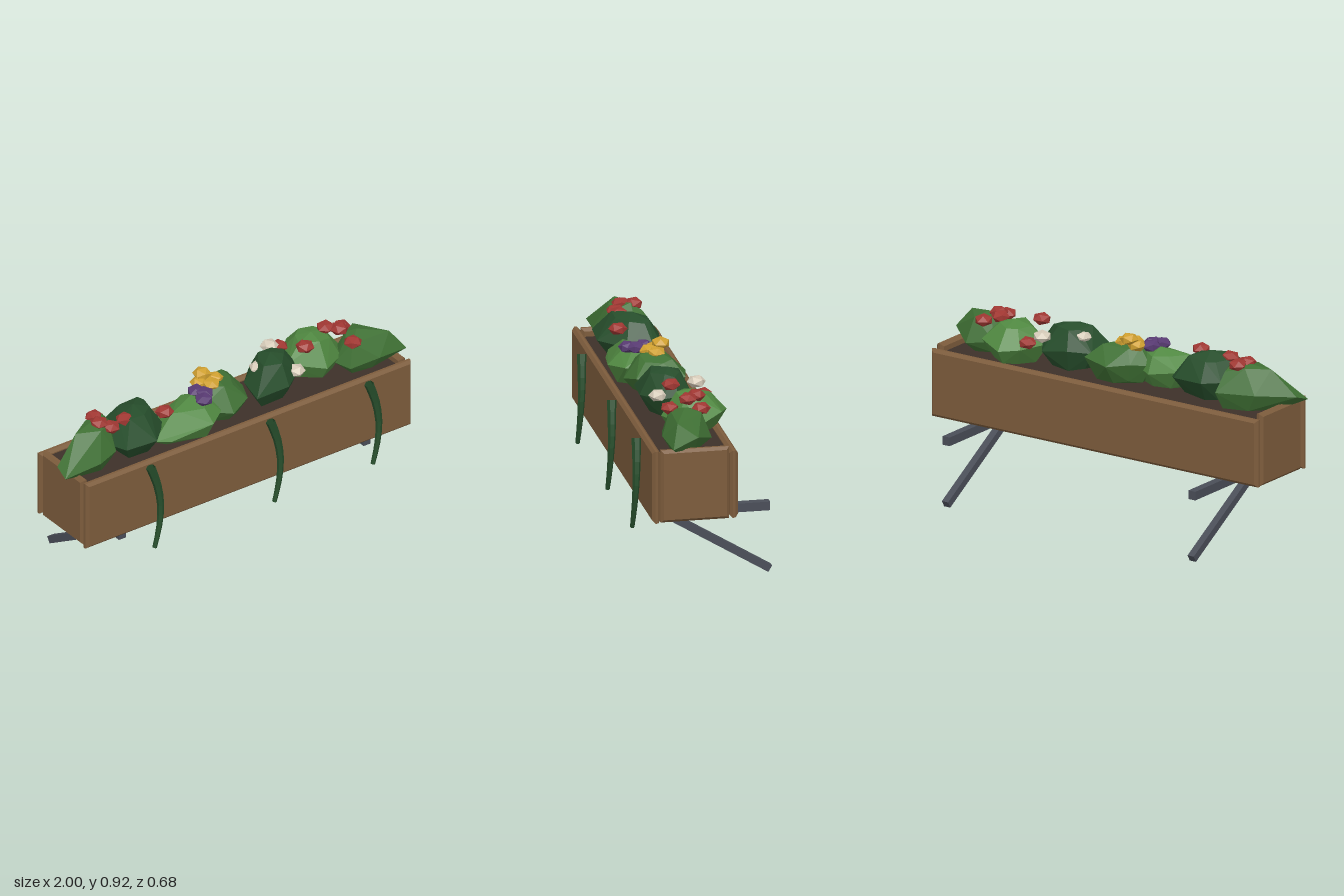
import * as THREE from 'three';
import { ConvexGeometry } from 'three/addons/geometries/ConvexGeometry.js';

const mat = (name, color, flatShading = true) => {
  const m = new THREE.MeshStandardMaterial({ color, flatShading });
  m.name = name;
  return m;
};

// Small seeded generator for irregular leaves
let seed = 7;
const rand = () => {
  seed = (seed * 16807) % 2147483647;
  return seed / 2147483647;
};
const jitter = (a) => (rand() - 0.5) * 2 * a;

// Board with chamfered edges: width, height, thickness (along z)
function board(w, h, t, c = 0.014) {
  const x = w / 2 - c, y = h / 2 - c;
  const s = new THREE.Shape([[-x, -y], [x, -y], [x, y], [-x, y]].map((p) => new THREE.Vector2(...p)));
  const g = new THREE.ExtrudeGeometry(s, {
    depth: t - 2 * c, bevelEnabled: true, bevelThickness: c, bevelSize: c, bevelSegments: 1,
  });
  return g.translate(0, 0, -(t - 2 * c) / 2);
}

// Faceted clump: plan outline [x, z], peak [x, y, z], widest height and base
function clump(outline, peak, mid, base) {
  const top = new THREE.Vector3(...peak);
  const pts = [top];
  for (const [x, z] of outline) {
    const y = mid + jitter(0.025);
    const ring = new THREE.Vector3(x, y, z);
    pts.push(ring);
    const upper = ring.clone().lerp(top, 0.45 + jitter(0.12));
    upper.y = THREE.MathUtils.lerp(mid, peak[1], 0.78 + jitter(0.1));
    pts.push(upper);
    const lower = ring.clone().lerp(top, 0.35 + jitter(0.08));
    lower.y = base + rand() * 0.02;
    pts.push(lower);
  }
  return new ConvexGeometry(pts);
}

// Tapered hanging stem along a curve
function stem(points, r0, r1, rings = 8, sides = 6) {
  const curve = new THREE.CatmullRomCurve3(points.map((p) => new THREE.Vector3(...p)));
  const g = new THREE.TubeGeometry(curve, rings, 1, sides, false);
  const pos = g.attributes.position, v = new THREE.Vector3();
  for (let i = 0; i < pos.count; i++) {
    const t = Math.floor(i / (sides + 1)) / rings;
    const c = curve.getPointAt(t);
    v.fromBufferAttribute(pos, i).sub(c).multiplyScalar(r0 + (r1 - r0) * t).add(c);
    pos.setXYZ(i, v.x, v.y, v.z);
  }
  return g;
}

export function createModel() {
  const root = new THREE.Group();
  root.name = 'flowerBox';
  const wood = mat('wood', 0x7d5c3c);
  const soil = mat('soil', 0x3d3029);
  const metal = mat('metal', 0x4a4e58);
  const dark = mat('darkLeaf', 0x264d2b);
  const medium = mat('mediumLeaf', 0x3f7034);
  const light = mat('lightLeaf', 0x4f8740);
  const red = mat('redPetal', 0xa03732);
  const yellow = mat('yellowPetal', 0xd0a030);
  const white = mat('whitePetal', 0xd6cbb9);
  const purple = mat('purplePetal', 0x583a72);
  dark.side = THREE.DoubleSide;

  const add = (parent, name, geo, material, x = 0, y = 0, z = 0) => {
    const m = new THREE.Mesh(geo, material);
    m.name = name;
    m.position.set(x, y, z);
    parent.add(m);
    return m;
  };
  const group = (name) => {
    const g = new THREE.Group();
    g.name = name;
    root.add(g);
    return g;
  };

  // Trough
  const cx = 0.015, cz = 0.077;
  const trough = group('trough');
  add(trough, 'frontBoard', board(1.9, 0.36, 0.041), wood, cx, 0.535, 0.264);
  add(trough, 'backBoard', board(1.9, 0.335, 0.041), wood, cx, 0.527, -0.11);
  for (const s of [-1, 1]) {
    const end = add(trough, 'endBoard', board(0.331, 0.36, 0.041), wood, cx + s * 0.929, 0.535, cz);
    end.rotation.y = Math.PI / 2;
  }
  add(trough, 'floorBoard', new THREE.BoxGeometry(1.82, 0.03, 0.335), wood, cx, 0.379, cz);
  add(trough, 'soil', new THREE.BoxGeometry(1.82, 0.28, 0.335), soil, cx, 0.535, cz);

  // Brackets: level arm and sloping strut
  for (const s of [-1, 1]) {
    const b = group('bracket');
    const x = cx + s * 0.715;
    add(b, 'arm', new THREE.BoxGeometry(0.04, 0.043, 0.575), metal, x, 0.333, -0.042);
    const a = new THREE.Vector3(x, 0.316, 0.162), e = new THREE.Vector3(x, 0.018, -0.33);
    const mid = a.clone().add(e).multiplyScalar(0.5);
    const strut = add(b, 'strut', new THREE.BoxGeometry(0.036, 0.036, a.distanceTo(e)), metal, ...mid.toArray());
    strut.lookAt(a);
  }

  // Foliage clumps
  const foliage = group('foliage');
  const clumps = [
    [medium, [-0.68, 0.905, 0.05], 0.755, 0.67,
      [[-1, 0.2], [-0.99, 0.12], [-0.83, 0], [-0.65, -0.07], [-0.6, 0.04], [-0.69, 0.18], [-0.8, 0.21]]],
    [dark, [-0.52, 0.915, 0.08], 0.79, 0.69,
      [[-0.7, 0.13], [-0.65, -0.02], [-0.56, -0.06], [-0.39, -0.04], [-0.35, 0], [-0.38, 0.13], [-0.5, 0.25], [-0.67, 0.24]]],
    [light, [-0.2, 0.865, 0.11], 0.76, 0.68,
      [[-0.48, 0.2], [-0.35, 0.05], [-0.21, 0], [-0.05, 0.1], [-0.09, 0.2], [-0.18, 0.265], [-0.4, 0.23]]],
    [medium, [-0.03, 0.88, 0.06], 0.77, 0.68,
      [[-0.19, 0.05], [-0.12, -0.02], [-0.02, -0.08], [0.125, -0.05], [0.15, 0.04], [0.08, 0.18], [-0.03, 0.22], [-0.19, 0.15]]],
    [dark, [0.29, 0.905, 0.07], 0.78, 0.68,
      [[0.12, 0.2], [0.15, 0.05], [0.24, -0.03], [0.38, -0.04], [0.435, 0.05], [0.41, 0.13], [0.3, 0.21]]],
    [light, [0.57, 0.885, 0.01], 0.78, 0.68,
      [[0.4, 0.05], [0.47, -0.09], [0.55, -0.16], [0.68, -0.11], [0.735, 0], [0.68, 0.1], [0.56, 0.16]]],
    [medium, [0.78, 0.865, 0.09], 0.745, 0.67,
      [[0.645, 0.1], [0.7, 0.02], [0.83, -0.03], [0.95, 0.06], [1, 0.19], [0.83, 0.21], [0.68, 0.18]]],
  ];
  for (const [m, peak, mid, base, outline] of clumps) {
    add(foliage, 'leafClump', clump(outline, peak, mid, base), m);
  }

  // Hanging stems over the front
  const stems = group('hangingStems');
  for (const x of [-0.58, 0.12, 0.695]) {
    add(stems, 'hangingStem', stem([
      [x, 0.698, 0.308], [x + 0.035, 0.59, 0.314], [x + 0.05, 0.47, 0.32],
      [x + 0.037, 0.36, 0.325], [x + 0.008, 0.258, 0.329],
    ], 0.023, 0.011), dark);
  }

  // Blossoms
  const blossoms = group('blossoms');
  const petals = new THREE.IcosahedronGeometry(0.047, 0).scale(1, 0.65, 1);
  const beds = [
    ['redBlossom', red, [[-0.71, 0.89, 0.03], [-0.725, 0.89, 0.09], [-0.68, 0.87, 0.125], [-0.6, 0.885, 0.125],
      [-0.4, 0.875, 0.17], [0.44, 0.81, -0.07], [0.475, 0.88, 0.095], [0.655, 0.88, 0.01],
      [0.7, 0.88, 0.06], [0.75, 0.845, 0.005], [0.715, 0.845, 0.15]]],
    ['yellowBlossom', yellow, [[-0.08, 0.9, 0.03], [-0.11, 0.87, 0.05], [-0.03, 0.87, 0.06], [-0.07, 0.87, 0.09]]],
    ['purpleBlossom', purple, [[-0.16, 0.865, 0.095], [-0.17, 0.86, 0.17], [-0.14, 0.865, 0.135]]],
    ['whiteBlossom', white, [[0.37, 0.85, -0.05], [0.39, 0.8, 0.14], [0.22, 0.845, 0.07]]],
  ];
  for (const [name, m, spots] of beds) {
    for (const p of spots) add(blossoms, name, petals, m, ...p).rotation.y = rand() * 6;
  }
  return root;
}
